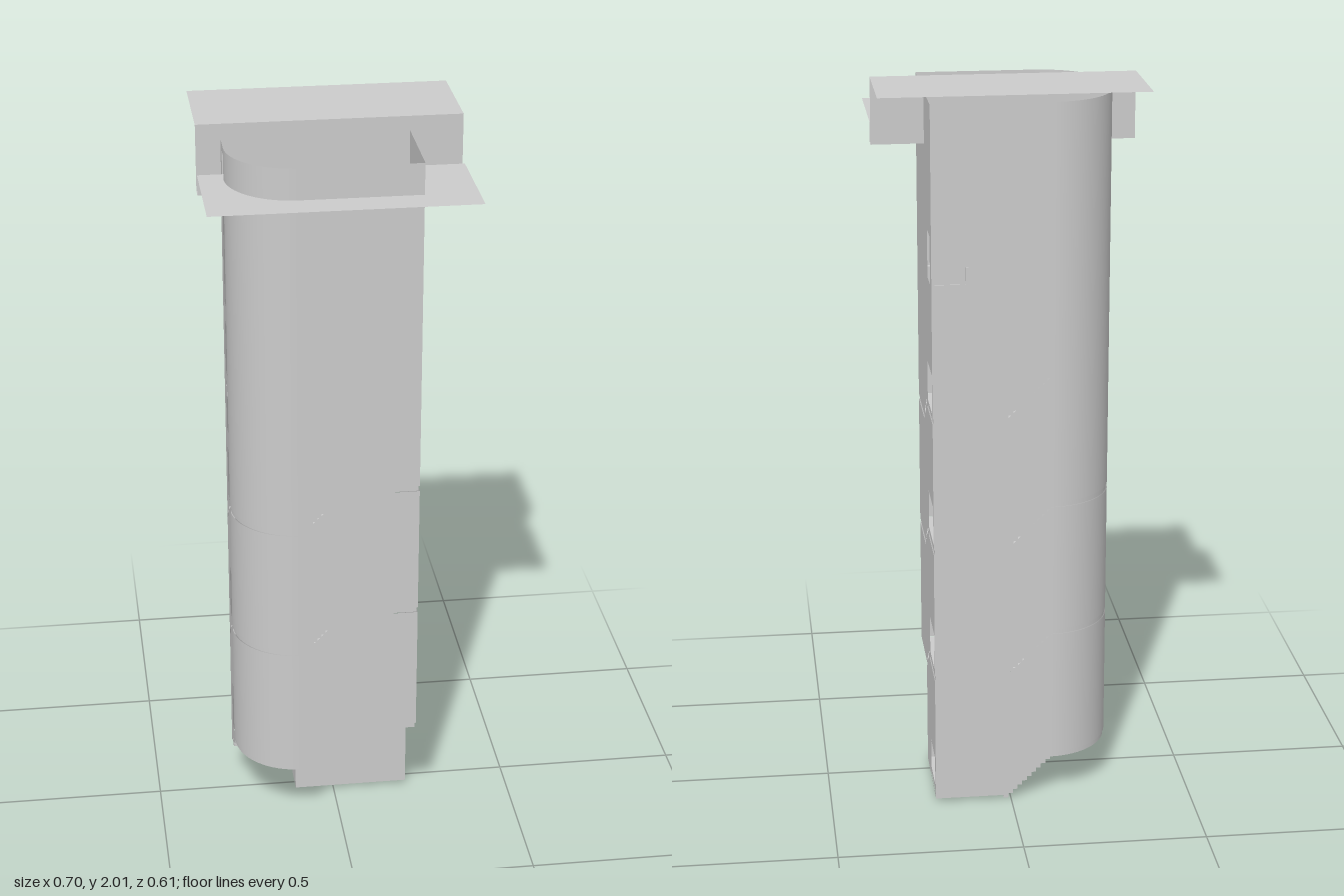
import * as THREE from 'three';

const RISE = 0.372;   // height of one full turn of the stair
const GAP = 0.015;    // slab thickness, also the joint between wall panels
const TOP = 1.96;
const X0 = -0.285, XC = -0.11, X1 = 0.21;               // left end, start of rounding, right wall
const ZB = -0.21, ZCB = -0.035, ZCF = 0.045, ZF = 0.22; // back wall, core back, core front, front wall
const R = 0.175;

const material = new THREE.MeshStandardMaterial({ color: 0xcccccc, side: THREE.DoubleSide });

export function createModel() {
  const model = new THREE.Group();

  const add = (name, geometry, x = 0, y = 0, z = 0, parent = model) => {
    const mesh = new THREE.Mesh(geometry, material);
    mesh.name = name;
    mesh.position.set(x, y, z);
    parent.add(mesh);
    return mesh;
  };

  // Box given by its limits
  const box = (name, xa, xb, ya, yb, za, zb, parent) =>
    add(name, new THREE.BoxGeometry(xb - xa, yb - ya, zb - za),
      (xa + xb) / 2, (ya + yb) / 2, (za + zb) / 2, parent);

  // Flat wall sheet; sideways sheets use z as their horizontal axis
  const sheet = (name, outline, holes, sideways, offset) => {
    const shape = new THREE.Shape(outline.map(p => new THREE.Vector2(p[0], p[1])));
    for (const [a, b, c, d] of holes) {
      shape.holes.push(new THREE.Path([[a, c], [a, d], [b, d], [b, c]].map(p => new THREE.Vector2(...p))));
    }
    const geometry = new THREE.ShapeGeometry(shape);
    if (sideways) geometry.rotateY(-Math.PI / 2);
    return add(name, geometry, sideways ? offset : 0, 0, sideways ? 0 : offset);
  };

  // Stack of wall panels whose joints follow the stair
  const wall = (name, edge, turns, sideways, offset, holes = []) => {
    for (let k = 0; k < turns; k++) {
      const low = edge.map(([u, h]) => [u, h + k * RISE]);
      const high = edge.map(([u, h]) => [u, k === turns - 1 ? TOP : h + (k + 1) * RISE - GAP]).reverse();
      const inside = holes.filter(h => h[2] > low[low.length - 1][1] && h[3] < high[0][1]);
      sheet(name, [...low, ...high], inside, sideways, offset);
    }
  };

  // Openings: doorways on the right face, slots on the rounded end
  const doors = [1, 2, 3].map(k => [-0.2, -0.07, k * RISE + 0.005, k * RISE + 0.12]);
  doors.push([-0.17, -0.095, 1.475, 1.605]);
  const slots = [0, 1, 2, 3].map(k => [0.004, 0.042, k * RISE + 0.205, k * RISE + 0.35]);
  slots.push([0.004, 0.042, 1.15, 1.29], [0.004, 0.042, 1.52, 1.94]);

  wall('frontWall', [[XC, 0.19], [0, 0.305], [X1, 0.305]], 3, false, ZF);
  wall('rightWall', [[ZF, 0.305], [ZCF, 0.305], [ZCB, RISE], [ZB, RISE]], 3, true, X1, doors);
  wall('backWall', [[X1, 0], [0.02, 0], [XC, 0.125]], 4, false, ZB);
  wall('leftWall', [[ZCB, 0.125], [ZCF, 0.19]], 3, true, X0, slots);

  // Rounded corners, one curved panel per turn
  for (const [name, z, base, start] of [
    ['frontRoundedCorner', ZCF, 0.19, Math.PI * 1.5],
    ['backRoundedCorner', ZCB, 0.125, Math.PI],
  ]) {
    for (let k = 0; k < 3; k++) {
      const low = base + k * RISE;
      const high = k === 2 ? TOP : low + RISE - GAP;
      add(name, new THREE.CylinderGeometry(R, R, high - low, 16, 1, true, start, Math.PI / 2),
        XC, (low + high) / 2, z);
    }
  }

  // Entrance base below the first turn
  sheet('entranceFrontWall', [[XC, 0], [X1, 0], [X1, 0.305 - GAP], [0, 0.305 - GAP], [XC, 0.19 - GAP]], [], false, ZCF);
  sheet('entranceRightWall', [[ZCF, 0], [ZCF, 0.29], [ZCB, RISE - GAP], [ZB, RISE - GAP], [ZB, 0]],
    [[-0.19, -0.07, 0.005, 0.115]], true, X1);
  sheet('entranceLeftWall', [[ZCB, 0], [ZCF, 0], [ZCF, 0.175], [ZCB, 0.125]], [], true, XC);
  box('entranceFloor', 0.02, X1, 0, 0.004, ZCB, ZCF);

  // Winding stair: four landings joined by four flights in each turn
  const e = 0.003;
  for (let k = 0; k < 4; k++) {
    const turn = new THREE.Group();
    turn.name = 'stairTurn';
    turn.position.y = k * RISE;
    model.add(turn);

    const lift = k === 0 ? GAP : 0;
    box('backRightLanding', 0.02, X1 - e, -GAP + lift, lift, ZB + e, ZCB, turn);
    box('frontRightLanding', 0, X1 - e, 0.305 - GAP, 0.305, ZCF, ZF - e, turn);
    for (const [y, z, start] of [[0.125, ZCB, Math.PI], [0.19, ZCF, Math.PI * 1.5]]) {
      add('roundedLanding', new THREE.CylinderGeometry(R - e, R - e, GAP, 16, 1, false, start, Math.PI / 2),
        XC, y - GAP / 2, z, turn);
    }

    const flight = (name, n, y0, y1, place) => {
      for (let i = 0; i < n; i++) {
        const y = y0 + (y1 - y0) * (i + 1) / n;
        const [xa, xb, za, zb] = place(i / n, (i + 1) / n);
        box(name, xa, xb, y - 0.022, y, za, zb, turn);
      }
    };
    flight('backStep', 10, 0, 0.125, (a, b) => [0.02 - 0.13 * b, 0.02 - 0.13 * a, ZB + e, ZCB]);
    flight('leftStep', 6, 0.125, 0.19, (a, b) => [X0 + e, XC, ZCB + 0.08 * a, ZCB + 0.08 * b]);
    flight('frontStep', 10, 0.19, 0.305, (a, b) => [XC + 0.11 * a, XC + 0.11 * b, ZCF, ZF - e]);
    flight('rightStep', 6, 0.305, RISE, (a, b) => [0.02, X1 - e, ZCF - 0.08 * b, ZCF - 0.08 * a]);
  }

  // Small ledge with an upright end on the back wall
  box('backLedge', 0.12, X1, 1.473, 1.485, ZB - 0.003, ZB);
  box('backLedgeEnd', 0.113, 0.12, 1.473, 1.53, ZB - 0.003, ZB);

  // Folded roof sheet: high back, gutter, lower front
  const roof = new THREE.Group();
  roof.name = 'roof';
  model.add(roof);
  const fold = [[-0.305, 2], [-0.028, 2], [-0.028, 1.82], [0.005, 1.82], [0.005, 1.875], [0.305, 1.875]];
  for (let i = 0; i < fold.length - 1; i++) {
    const [za, ya] = fold[i], [zb, yb] = fold[i + 1];
    const geometry = new THREE.PlaneGeometry(0.7, Math.hypot(zb - za, yb - ya));
    if (ya === yb) geometry.rotateX(-Math.PI / 2);
    add('roofSheet', geometry, 0, (ya + yb) / 2, (za + zb) / 2, roof);
  }

  return model;
}
